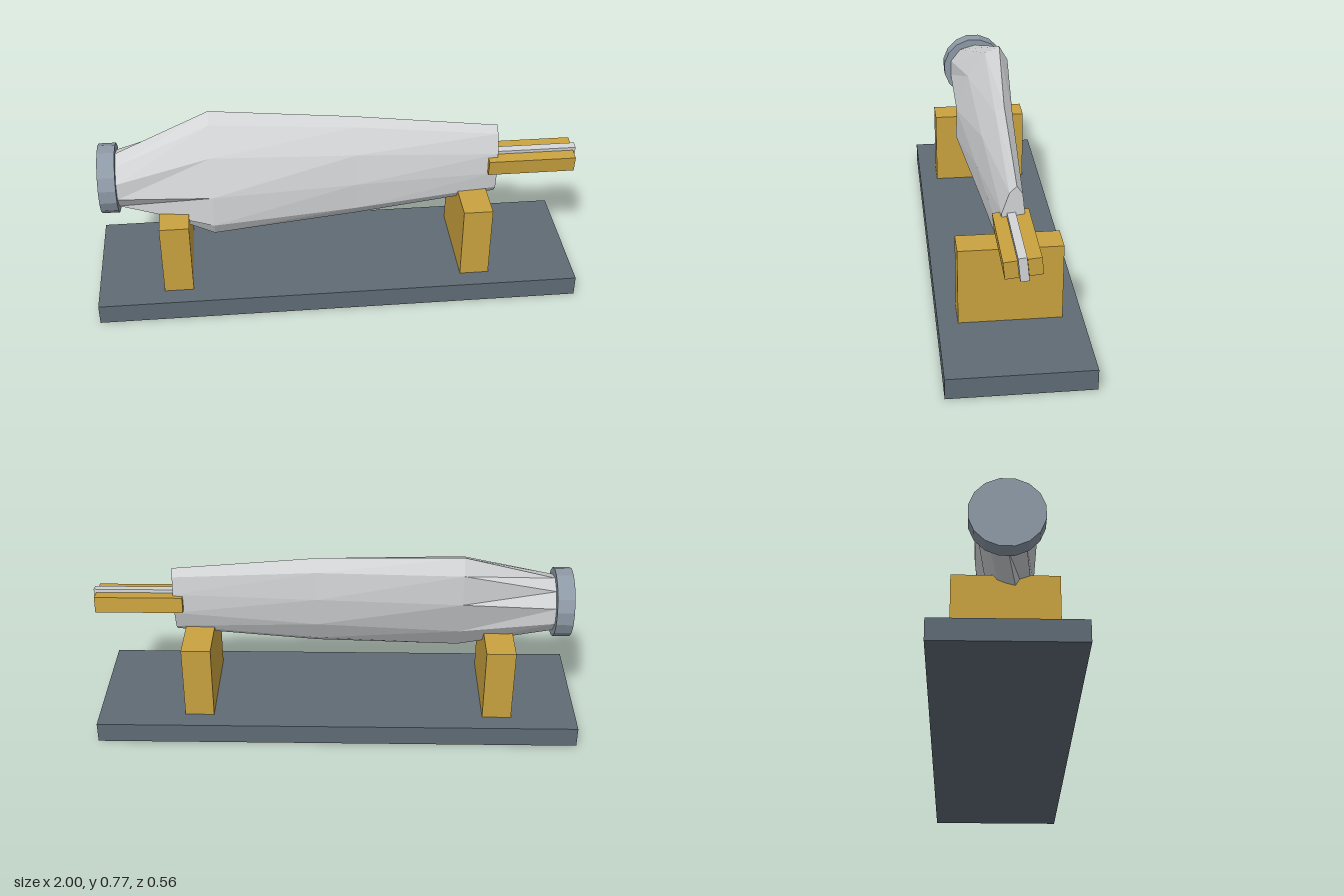
import * as THREE from 'three';

const material = (name, color) => {
  const m = new THREE.MeshStandardMaterial({ color });
  m.name = name;
  return m;
};

const AXIS_Y = 0.528; // height of the blade axis

// Loft closed rings of [z, y] points, placed at each x, with both ends capped
function loft(rings) {
  const pos = [];
  const n = rings[0].points.length;
  const at = (r, k) => [r.x, r.points[k % n][1], r.points[k % n][0]];
  const tri = (...corners) => corners.forEach((c) => pos.push(...c));
  for (let i = 0; i < rings.length - 1; i++) {
    for (let k = 0; k < n; k++) {
      const a = at(rings[i], k), b = at(rings[i], k + 1);
      const d = at(rings[i + 1], k), c = at(rings[i + 1], k + 1);
      tri(a, d, c);
      tri(a, c, b);
    }
  }
  const first = rings[0], last = rings[rings.length - 1];
  for (let k = 0; k < n; k++) {
    tri([last.x, 0, 0], at(last, k + 1), at(last, k));
    tri([first.x, 0, 0], at(first, k), at(first, k + 1));
  }
  const g = new THREE.BufferGeometry();
  g.setAttribute('position', new THREE.Float32BufferAttribute(pos, 3));
  g.computeVertexNormals();
  return g;
}

// Half of an airfoil outline from leading edge; the other half is its point reflection
const airfoil = (x, half) => ({ x, points: [...half, ...half.map(([z, y]) => [-z, -y])] });

export function createModel() {
  const model = new THREE.Group();
  model.name = 'bladeOnStand';

  const slate = material('slate', 0x5f6b75);
  const ochre = material('ochre', 0xc9a23f);
  const paleGrey = material('paleGrey', 0xd2d4d6);
  const steel = material('steel', 0x8e9aa7);

  const add = (parent, name, geometry, mat, x = 0, y = 0, z = 0) => {
    const mesh = new THREE.Mesh(geometry, mat);
    mesh.name = name;
    mesh.position.set(x, y, z);
    parent.add(mesh);
    return mesh;
  };
  const box = (parent, name, size, mat, x, y, z) =>
    add(parent, name, new THREE.BoxGeometry(...size), mat, x, y, z);

  // Base plate and the two cradle blocks
  box(model, 'base', [1.99, 0.085, 0.56], slate, -0.005, 0.0425, 0);
  for (const [name, x] of [['rootSupport', -0.67], ['tipSupport', 0.57]]) {
    box(model, name, [0.12, 0.315, 0.404], ochre, x, 0.2425, 0);
  }

  // Blade: round root blending into a twisted, tapering airfoil
  const root = [];
  for (let k = 0; k < 10; k++) {
    const a = THREE.MathUtils.degToRad(92 + 36 * k);
    root.push([0.115 * Math.cos(a), 0.115 * Math.sin(a)]);
  }
  const blade = loft([
    { x: -0.89, points: root },
    airfoil(-0.51, [[-0.08, 0.247], [-0.117, 0.183], [-0.113, 0.048], [-0.06, -0.11], [0.015, -0.219]]),
    airfoil(0.08, [[-0.035, 0.216], [-0.07, 0.167], [-0.077, 0.045], [-0.055, -0.085], [0, -0.185]]),
    airfoil(0.67, [[-0.015, 0.153], [-0.037, 0.122], [-0.045, 0.045], [-0.04, -0.045], [-0.012, -0.126]]),
  ]);
  add(model, 'blade', blade, paleGrey, 0, AXIS_Y, 0);

  // Root flange
  const disc = new THREE.CylinderGeometry(0.142, 0.142, 0.07, 16).toNonIndexed();
  disc.rotateY(Math.PI / 16).rotateZ(Math.PI / 2);
  disc.computeVertexNormals();
  add(model, 'rootFlange', disc, steel, -0.923, AXIS_Y + 0.002, 0);

  // Spar stub at the tip: a web between two caps, tilted with the twist
  const spar = new THREE.Group();
  spar.name = 'spar';
  spar.position.y = AXIS_Y;
  spar.rotation.x = 0.1;
  box(spar, 'sparWeb', [0.37, 0.093, 0.032], paleGrey, 0.815, 0, 0);
  for (const side of [-1, 1]) {
    box(spar, side > 0 ? 'frontSparCap' : 'backSparCap', [0.36, 0.067, 0.051], ochre, 0.81, 0, side * 0.043);
  }
  model.add(spar);

  return model;
}
